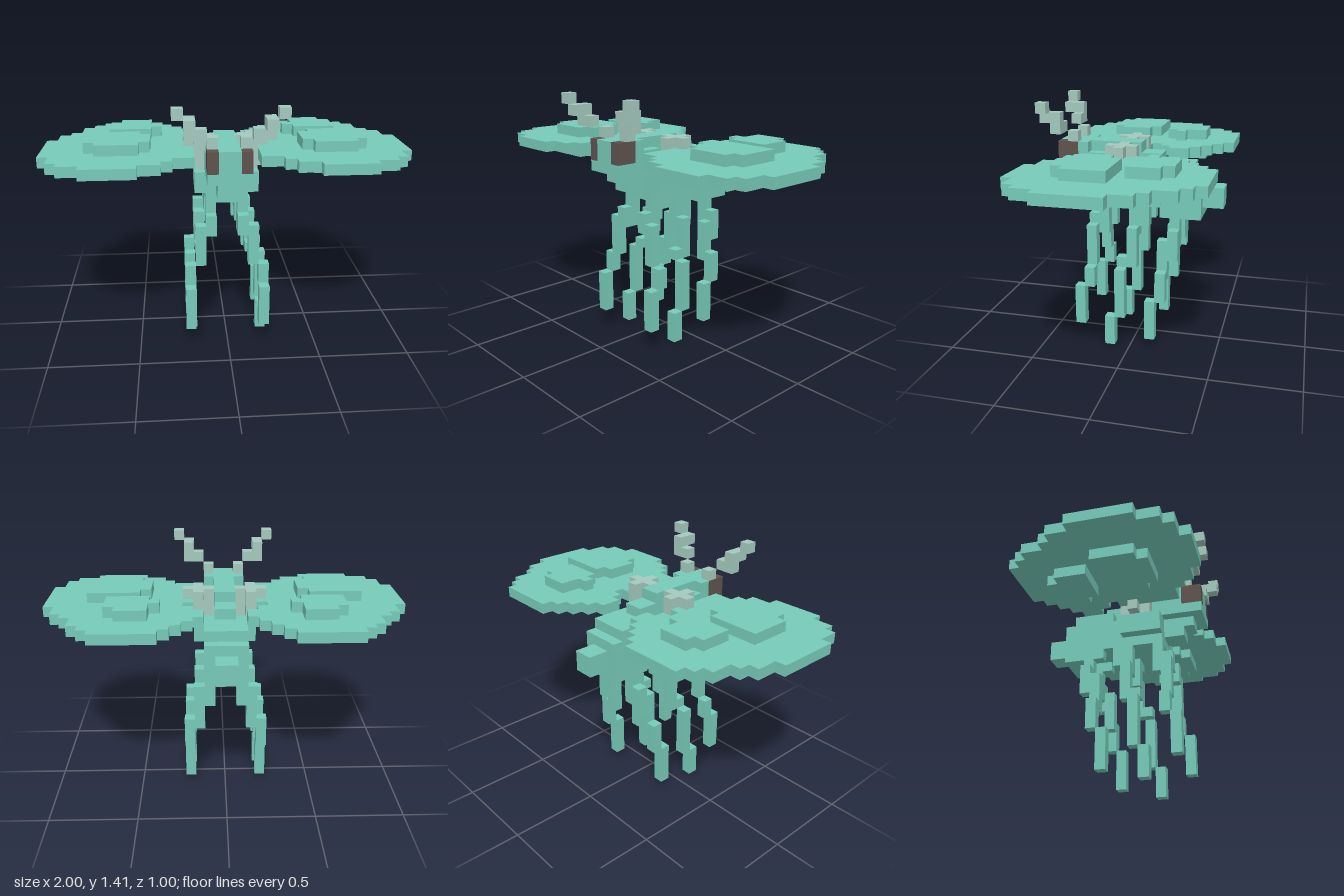
import * as THREE from 'three';

const U = 1 / 17; // one block
const teal = new THREE.MeshStandardMaterial({ color: 0x76cab9 });
teal.name = 'teal';
const pale = new THREE.MeshStandardMaterial({ color: 0xa4c9be });
pale.name = 'pale sage';
const dark = new THREE.MeshStandardMaterial({ color: 0x5f524d });
dark.name = 'dark brown';

// Box between block coordinates; z rows count from the back (0) to the front (17)
function block(parent, name, mat, x0, x1, y0, y1, r0, r1) {
  const g = new THREE.BoxGeometry((x1 - x0) * U, (y1 - y0) * U, (r1 - r0) * U);
  g.translate((x0 + x1) * U / 2, (y0 + y1) * U / 2, ((r0 + r1) / 2 - 8.5) * U);
  const m = new THREE.Mesh(g, mat);
  m.name = name;
  parent.add(m);
}

// Same block on the left (+x) and right (-x)
function pair(parent, name, mat, x0, x1, y0, y1, r0, r1) {
  block(parent, name + 'Left', mat, x0, x1, y0, y1, r0, r1);
  block(parent, name + 'Right', mat, -x1, -x0, y0, y1, r0, r1);
}

// Flat stepped slab: each row gives [inner, outer] block limits
function slab(parent, name, mat, rows, firstRow, y0, y1, side) {
  const pts = [];
  rows.forEach(([, outer], i) => pts.push([outer, i], [outer, i + 1]));
  for (let i = rows.length - 1; i >= 0; i--) pts.push([rows[i][0], i + 1], [rows[i][0], i]);
  const shape = new THREE.Shape(pts.map(([x, i]) =>
    new THREE.Vector2(side * x * U, (firstRow + i - 8.5) * U)));
  const g = new THREE.ExtrudeGeometry(shape, { depth: (y1 - y0) * U, bevelEnabled: false });
  g.rotateX(Math.PI / 2);
  g.translate(0, y1 * U, 0);
  const m = new THREE.Mesh(g, mat);
  m.name = name;
  parent.add(m);
}

const wingRows = [
  [6, 12], [5, 13], [4, 14], [3, 14], [2, 15], [2, 16], [3, 16], [4, 17], [3, 17],
  [3, 17], [3, 17], [3, 17], [3, 17], [3, 16], [5, 16], [6, 15], [8, 13],
];
const rearSpot = [[7, 10], [7, 11], [6, 11], [7, 11]];
const frontSpot = [[8, 13], [7, 13], [7, 13], [7, 13], [8, 12]];

// Leg segments: x0, x1, y0, y1, row
const legs = {
  frontLeg: [[1, 2, 11, 14, 11], [1, 2, 11, 13, 12], [2, 3, 8, 12, 12], [3, 4, 6, 8, 12], [3, 4, 2, 6, 13]],
  middleLeg: [[1, 2, 12, 14, 7], [1, 2, 11, 14, 8], [2, 3, 8, 12, 8], [2, 3, 8, 9, 9], [3, 4, 3, 8, 9], [3, 4, 0, 3, 10]],
  rearLeg: [[1, 2, 13, 14, 5], [1, 2, 10, 14, 4], [2, 3, 9, 12, 4], [2, 3, 7, 11, 5], [3, 4, 5, 8, 5], [3, 4, 1, 5, 6]],
};

export function createModel() {
  const model = new THREE.Group();
  model.name = 'flyingInsect';

  // Abdomen stepping down to the tail
  const body = new THREE.Group();
  body.name = 'body';
  model.add(body);
  block(body, 'tail', teal, -1, 1, 14, 16, 0, 2);
  block(body, 'rearAbdomen', teal, -2, 2, 13, 17, 2, 4);
  block(body, 'abdomen', teal, -2, 2, 14, 18, 3, 7);

  // Thorax with wider shoulders and raised back
  block(body, 'thorax', teal, -2, 2, 14, 17, 7, 12);
  block(body, 'shoulders', teal, -3, 3, 15, 17, 8, 12);
  block(body, 'back', teal, -1, 1, 17, 19, 6, 8);
  block(body, 'ridge', teal, -1, 1, 17, 20, 8, 13);
  block(body, 'frontBack', teal, -2, 2, 17, 19, 11, 13);

  // Head, mouth and eyes
  const head = new THREE.Group();
  head.name = 'head';
  model.add(head);
  block(head, 'skull', teal, -2, 2, 17, 20, 13, 14);
  block(head, 'face', teal, -1, 1, 18, 20, 14, 16);
  block(head, 'jaw', teal, -2, 2, 17, 18, 14, 16);
  block(head, 'upperMouth', teal, -1, 1, 16, 17, 12, 15);
  block(head, 'lowerMouth', teal, -1, 1, 15, 16, 12, 14);
  pair(head, 'eye', dark, 1, 2, 18, 20, 14, 16);

  // Antennae
  pair(head, 'antennaBase', pale, 1, 2, 20, 21, 14, 15);
  pair(head, 'antennaBend', pale, 2, 4, 21, 22, 15, 16);
  pair(head, 'antennaRise', pale, 3, 4, 22, 23, 15, 17);
  pair(head, 'antennaTip', pale, 4, 5, 23, 24, 16, 17);

  // Wings with spots raised on both faces and cross-shaped joints
  for (const side of [1, -1]) {
    const wing = new THREE.Group();
    wing.name = side > 0 ? 'leftWing' : 'rightWing';
    model.add(wing);
    slab(wing, 'wingPanel', teal, wingRows, 0, 18, 19, side);
    for (const y of [17, 19]) {
      slab(wing, 'rearWingSpot', teal, rearSpot, 3, y, y + 1, side);
      slab(wing, 'frontWingSpot', teal, frontSpot, 8, y, y + 1, side);
    }
    slab(wing, 'wingJoint', pale, [[2, 3], [1, 4], [2, 3]], 8, 17, 20, side);
  }

  // Three pairs of stepped legs
  for (const [name, parts] of Object.entries(legs)) {
    const group = new THREE.Group();
    group.name = name + 's';
    model.add(group);
    for (const [x0, x1, y0, y1, row] of parts) pair(group, name, teal, x0, x1, y0, y1, row, row + 1);
  }
  return model;
}
